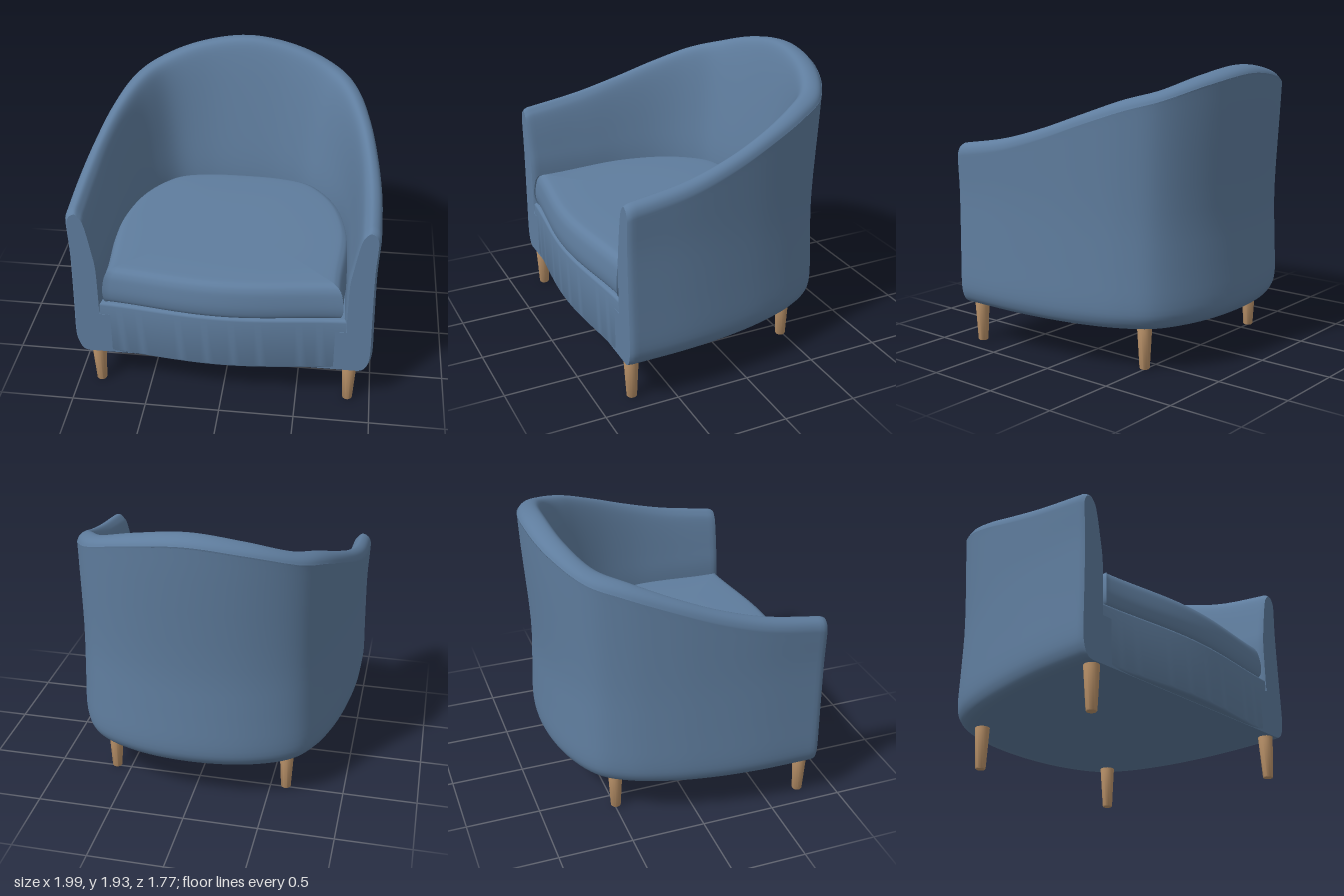
import * as THREE from 'three';
import { toCreasedNormals } from 'three/addons/utils/BufferGeometryUtils.js';

const V3 = (x, y, z) => new THREE.Vector3(x, y, z);

// Plan stations from the arm front to the middle of the back:
// outer x, outer z, inner x, inner z, height of the rim
const STATIONS = [
  [0.995, 0.82, 0.80, 0.82, 1.39],
  [0.99, 0.40, 0.79, 0.40, 1.46],
  [0.955, 0.08, 0.765, 0.10, 1.55],
  [0.90, -0.20, 0.70, -0.15, 1.65],
  [0.81, -0.47, 0.60, -0.33, 1.745],
  [0.69, -0.65, 0.47, -0.46, 1.80],
  [0.40, -0.795, 0.28, -0.515, 1.885],
  [0, -0.85, 0, -0.53, 1.935],
];
// Mirrored so the curves run smoothly through the middle of the back
const all = [...STATIONS, ...STATIONS.slice(0, -1).reverse().map(([a, b, c, d, h]) => [-a, b, -c, d, h])];
const outerCurve = new THREE.CatmullRomCurve3(all.map((s) => V3(s[0], s[4], s[1])));
const innerCurve = new THREE.CatmullRomCurve3(all.map((s) => V3(s[2], 0, s[3])));

// Smooth surface through rows of points
function loft(rows) {
  const m = rows[0].length, index = [];
  for (let i = 0; i < rows.length - 1; i++) {
    for (let j = 0; j < m - 1; j++) {
      const a = i * m + j, b = a + m;
      index.push(a, b, a + 1, b, b + 1, a + 1);
    }
  }
  const geo = new THREE.BufferGeometry().setFromPoints(rows.flat());
  geo.setIndex(index);
  geo.computeVertexNormals();
  return geo;
}

// Wall cross-section: t runs from the outer (0) to the inner (1) face
function wallSection(u, edge) {
  const o = outerCurve.getPoint(u), n = innerCurve.getPoint(u);
  const H = o.y - 0.015 * edge;
  const up = (f) => 0.95 + (H - 0.95) * f;
  const profile = new THREE.SplineCurve([
    [0.45, 0.285], [0.25, 0.298], [0.08, 0.345], [0, 0.44], [0.03, 0.7], [0.06, 1.05],
    [0.02, H - 0.13], [0.02, H - 0.06], [0.13, H - 0.017], [0.34, H], [0.5, H - 0.025],
    [0.62, up(0.86)], [0.74, up(0.66)], [0.87, up(0.36)], [0.98, up(0.06)], [1, 0.8], [1, 0.6],
  ].map(([t, y]) => new THREE.Vector2(t, y))).getPoints(64);
  const back = o.z < 0 ? (o.z / 0.85) ** 2 : 0;
  const ring = profile.map(({ x, y }) => {
    const t = x + (0.5 - x) * 0.16 * edge;
    const lean = 0.04 * back * THREE.MathUtils.smoothstep(y, 0.9, 1.9);
    return V3(o.x + (n.x - o.x) * t, y, o.z + (n.z - o.z) * t - lean);
  });
  // Close the underside and the deck along the centre line
  return [V3(0, 0.285, n.z), ...ring, V3(0, 0.6, n.z)];
}

const frontBow = (x) => Math.cos((Math.PI * x) / 1.9) ** 2;

function buildCushion() {
  const outline = [];
  for (let i = 0; i <= 80; i++) {
    const p = innerCurve.getPoint(i / 80);
    const tuck = 1 - THREE.MathUtils.smoothstep(p.z, 0.2, 0.75);
    outline.push([p.x * (0.985 + 0.06 * tuck), p.z - 0.04 * tuck]);
  }
  for (let i = 0; i <= 32; i++) {
    const x = -0.788 + (1.576 * i) / 32;
    outline.push([x, 0.803 + 0.085 * frontBow(x)]);
  }
  // Scale of the outline and height at each level
  const levels = new THREE.SplineCurve([
    [0.94, 0.675], [0.985, 0.705], [1, 0.77], [0.99, 0.85], [0.972, 0.9],
    [0.935, 0.932], [0.85, 0.946], [0.5, 0.955], [0.001, 0.957],
  ].map(([s, y]) => new THREE.Vector2(s, y))).getPoints(40);
  return loft(outline.map(([x, z]) => levels.map((l) => V3(x * l.x, l.y, 0.15 + (z - 0.15) * l.x))));
}

function buildFrontPanel() {
  const shape = new THREE.Shape();
  shape.moveTo(-0.88, 0.6);
  shape.lineTo(0.88, 0.6);
  for (let i = 0; i <= 40; i++) {
    const x = 0.88 - (1.76 * i) / 40;
    shape.lineTo(x, 0.812 + 0.071 * frontBow(x));
  }
  const geo = new THREE.ExtrudeGeometry(shape, {
    depth: 0.36, bevelSize: 0.02, bevelThickness: 0.02, bevelOffset: -0.02, bevelSegments: 4,
  });
  geo.rotateX(Math.PI / 2).translate(0, 0.668, 0);
  return toCreasedNormals(geo, 0.6);
}

export function createModel() {
  const model = new THREE.Group();
  model.name = 'tubArmchair';
  const fabric = new THREE.MeshStandardMaterial({ color: 0x5f7d9e });
  const wood = new THREE.MeshStandardMaterial({ color: 0xbf966c });
  const add = (name, geo, mat) => {
    const mesh = new THREE.Mesh(geo, mat);
    mesh.name = name;
    model.add(mesh);
    return mesh;
  };

  // Wrap-around arms and back, with softened front edges
  const steps = [[0, 1], [0.0025, 0.35], [0.006, 0]];
  const rows = steps.map(([u, e]) => wallSection(u, e));
  for (let i = 1; i < 96; i++) rows.push(wallSection(i / 96, 0));
  steps.slice().reverse().forEach(([u, e]) => rows.push(wallSection(1 - u, e)));
  add('armsAndBack', loft(rows), fabric);

  // Flat ends of the arms
  [['leftArmFront', rows[0]], ['rightArmFront', rows[rows.length - 1]]].forEach(([name, ring]) => {
    const shape = new THREE.Shape(ring.map((p) => new THREE.Vector2(p.x, p.y)));
    add(name, new THREE.ShapeGeometry(shape).translate(0, 0, 0.82), fabric);
  });

  add('frontPanel', buildFrontPanel(), fabric);
  add('seatCushion', buildCushion(), fabric);

  // Tapered legs
  const legGeo = new THREE.LatheGeometry([
    [0, 0], [0.03, 0], [0.034, 0.006], [0.048, 0.26], [0.05, 0.3], [0, 0.3],
  ].map(([r, y]) => new THREE.Vector2(r, y)), 24);
  const leg = toCreasedNormals(legGeo, 0.6);
  for (const side of [1, -1]) {
    const label = side > 0 ? 'Left' : 'Right';
    add('front' + label + 'Leg', leg, wood).position.set(0.85 * side, 0, 0.76);
    add('back' + label + 'Leg', leg, wood).position.set(0.605 * side, 0, -0.49);
  }
  return model;
}
